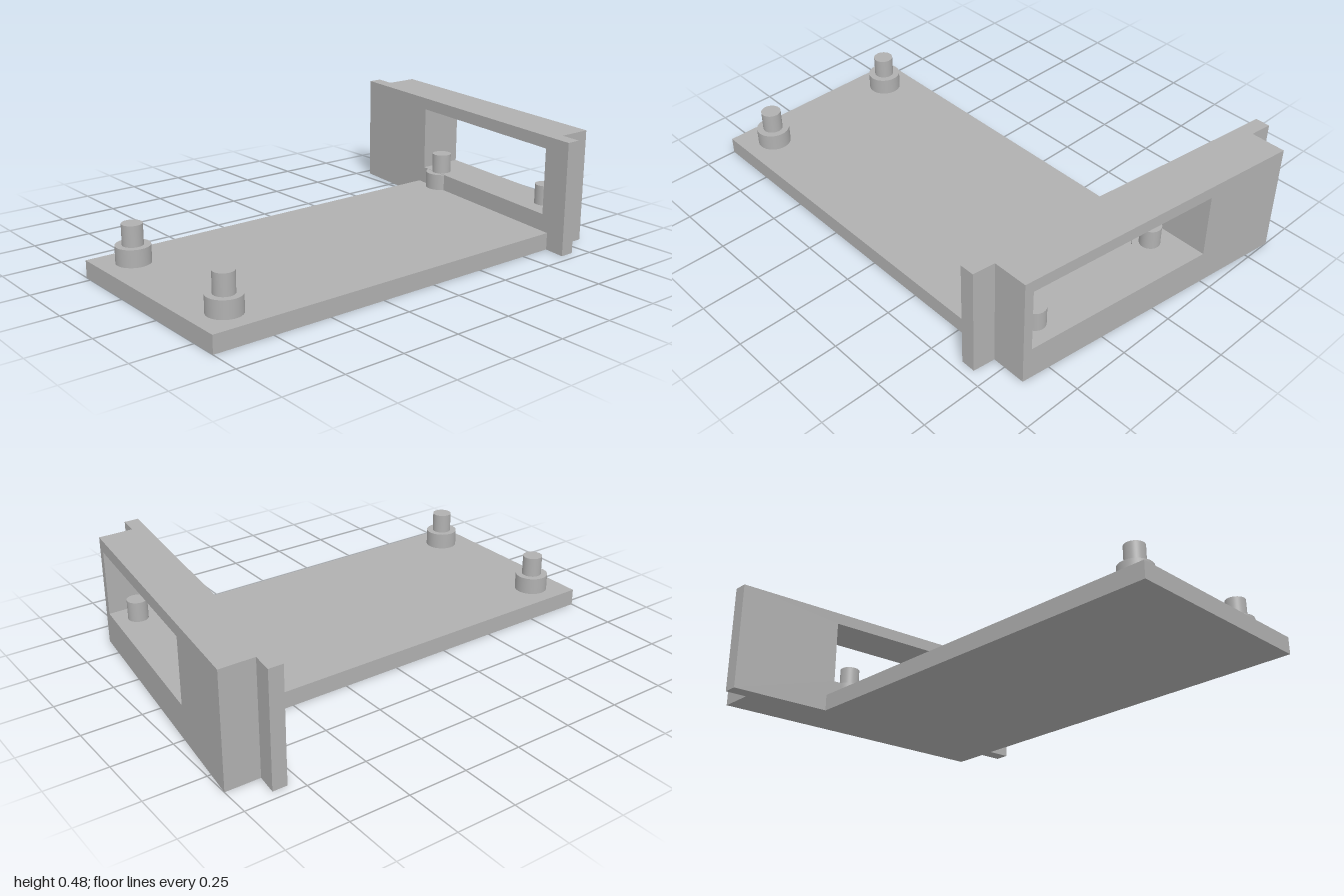
import * as THREE from 'three';

const SLOPE = 0.126; // the end panel is skewed: z shifts with x
const FRONT_Z = -0.715; // panel front at x = 0
const frontAt = (x) => FRONT_Z + SLOPE * x;

export function createModel() {
  const model = new THREE.Group();
  model.name = 'mountingPlateWithPanel';
  const grey = new THREE.MeshStandardMaterial({ color: 0xb0b0b0 });
  grey.name = 'plainGrey';

  const add = (name, geometry, parent = model) => {
    const mesh = new THREE.Mesh(geometry, grey);
    mesh.name = name;
    parent.add(mesh);
    return mesh;
  };

  // Upright slab with the window cut through it, skewed along x
  const skewedSlab = (halfWidth, frontOffset, backOffset) => {
    const rect = (Type, x0, x1, y0, y1) => {
      const path = new Type();
      path.moveTo(x0, y0).lineTo(x1, y0).lineTo(x1, y1).lineTo(x0, y1).closePath();
      return path;
    };
    const shape = rect(THREE.Shape, -halfWidth, halfWidth, 0, 0.477);
    shape.holes.push(rect(THREE.Path, -0.246, 0.581, 0.145, 0.425));
    const geometry = new THREE.ExtrudeGeometry(shape, {
      depth: backOffset - frontOffset, bevelEnabled: false,
    });
    geometry.translate(0, 0, FRONT_Z - backOffset);
    const p = geometry.attributes.position;
    for (let i = 0; i < p.count; i++) p.setZ(i, p.getZ(i) + SLOPE * p.getX(i));
    geometry.computeVertexNormals();
    return geometry;
  };

  // End panel: wide thin flange in front, thicker block behind
  add('panelFlange', skewedSlab(0.71, 0, 0.061));
  add('panelBlock', skewedSlab(0.618, 0.061, 0.207));

  // Base plate, its back edge following the panel
  const [left, right] = [-0.281, 0.615];
  const outline = new THREE.Shape([
    new THREE.Vector2(left, -1),
    new THREE.Vector2(right, -1),
    new THREE.Vector2(right, -frontAt(right)),
    new THREE.Vector2(left, -frontAt(left)),
  ]);
  const plate = new THREE.ExtrudeGeometry(outline, { depth: 0.072, bevelEnabled: false });
  plate.rotateX(-Math.PI / 2);
  add('basePlate', plate);

  // Four stepped locating posts
  for (const x of [-0.15, 0.481]) {
    for (const z of [0.863, -0.765]) {
      const post = new THREE.Group();
      post.name = 'locatingPost';
      post.position.set(x, 0, z);
      add('postCollar', new THREE.CylinderGeometry(0.07, 0.07, 0.084, 48), post).position.y = 0.102;
      add('postPin', new THREE.CylinderGeometry(0.042, 0.042, 0.09, 48), post).position.y = 0.185;
      model.add(post);
    }
  }
  return model;
}
